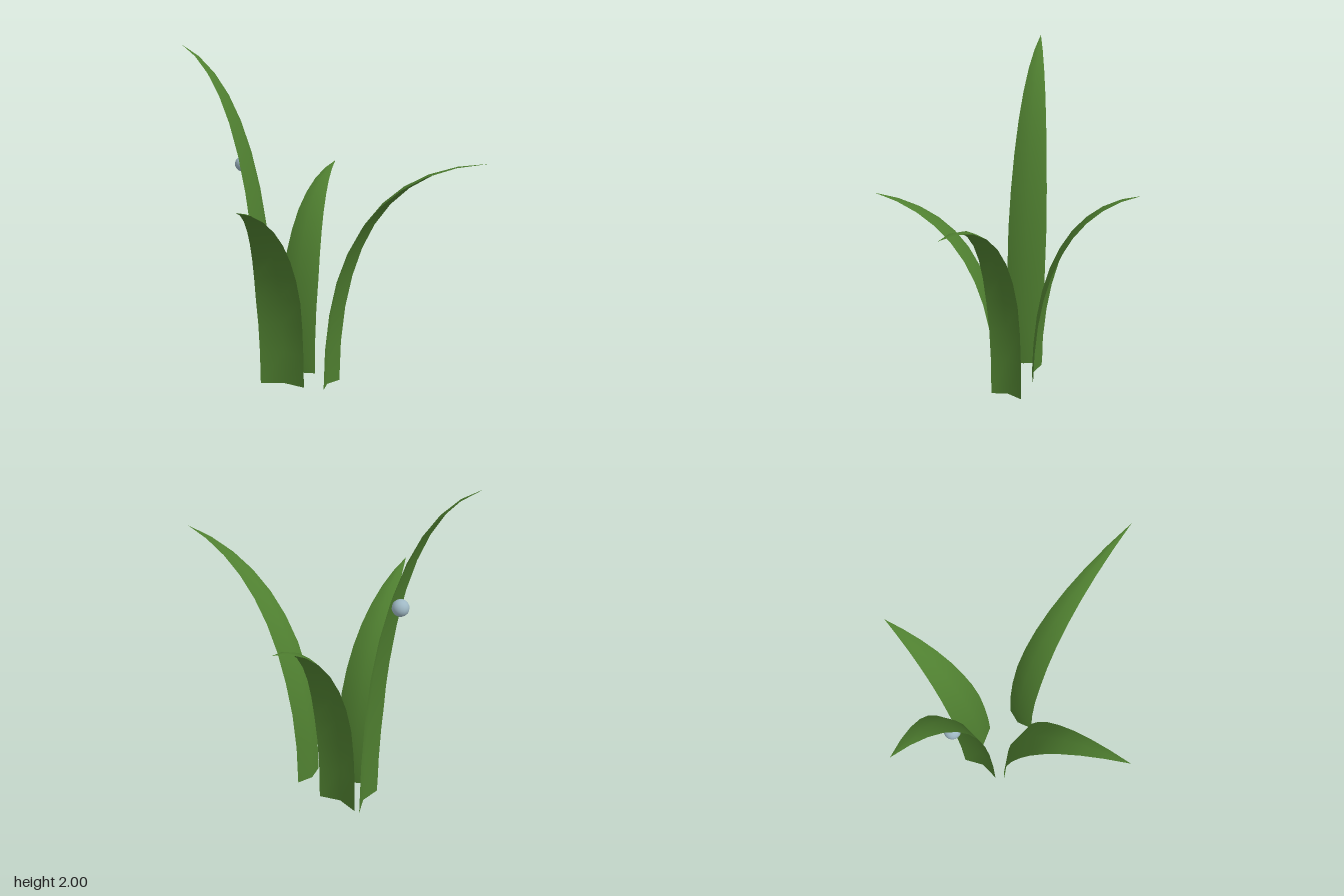
import * as THREE from 'three';

const ROWS = 10;

// A tapering leaf with a folded midrib: rises from base, arches out to tip.
// base, tip: [x, z]; arch: height of the bend as a fraction of the full height.
function bladeGeometry({ base, tip, height, width, fold, arch }) {
  const out = new THREE.Vector3(tip[0] - base[0], 0, tip[1] - base[1]);
  const reach = out.length();
  out.normalize();
  const side = new THREE.Vector3(-out.z, 0, out.x);
  const curve = new THREE.QuadraticBezierCurve(
    new THREE.Vector2(0, 0),
    new THREE.Vector2(0, height * arch),
    new THREE.Vector2(reach, height));
  const positions = [], index = [];
  for (let i = 0; i <= ROWS; i++) {
    const t = i / ROWS;
    const p = curve.getPoint(t), d = curve.getTangent(t);
    const taper = Math.min(1, (1 - t * t) / 0.9);
    for (const s of [-1, 0, 1]) {
      // the middle of each row is pushed to the inner, upper side
      const lift = s === 0 ? fold * taper : 0;
      const v = new THREE.Vector3(base[0], p.y + d.x * lift, base[1])
        .addScaledVector(out, p.x - d.y * lift)
        .addScaledVector(side, s * taper * width / 2);
      positions.push(v.x, v.y, v.z);
    }
    if (i === ROWS) continue;
    for (let j = 0; j < 2; j++) {
      const a = i * 3 + j, b = a + 1, c = a + 3, e = a + 4;
      index.push(a, c, b);
      if (i < ROWS - 1) index.push(b, c, e);
      else if (j === 0) index.push(b, c, e);
    }
  }
  const geometry = new THREE.BufferGeometry();
  geometry.setAttribute('position', new THREE.Float32BufferAttribute(positions, 3));
  geometry.setIndex(index);
  geometry.computeVertexNormals();
  return geometry;
}

export function createModel() {
  const model = new THREE.Group();
  model.name = 'grassTuft';
  const green = new THREE.MeshStandardMaterial({ color: 0x4f7f30, side: THREE.DoubleSide });

  const blades = {
    tallBlade: { base: [-0.43, -0.05], tip: [-0.95, 0.085], height: 2, width: 0.235, fold: 0.032, arch: 0.86 },
    frontBlade: { base: [-0.238, 0.065], tip: [-0.005, 0.75], height: 1.18, width: 0.27, fold: 0.04, arch: 0.87 },
    backBlade: { base: [-0.31, -0.19], tip: [-0.4, -0.755], height: 1.255, width: 0.243, fold: 0.035, arch: 0.89 },
    droopingBlade: { base: [0, -0.11], tip: [0.94, -0.17], height: 1.395, width: 0.19, fold: 0.03, arch: 0.92 },
  };
  for (const [name, spec] of Object.entries(blades)) {
    const blade = new THREE.Mesh(bladeGeometry(spec), green);
    blade.name = name;
    model.add(blade);
  }

  // Dew drop resting in the outer fold of the tall blade
  const dew = new THREE.Mesh(
    new THREE.SphereGeometry(0.046, 16, 12),
    new THREE.MeshStandardMaterial({ color: 0x9fb8c4 }));
  dew.name = 'dewDrop';
  dew.position.set(-0.573, 1.3, -0.01);
  model.add(dew);

  return model;
}
